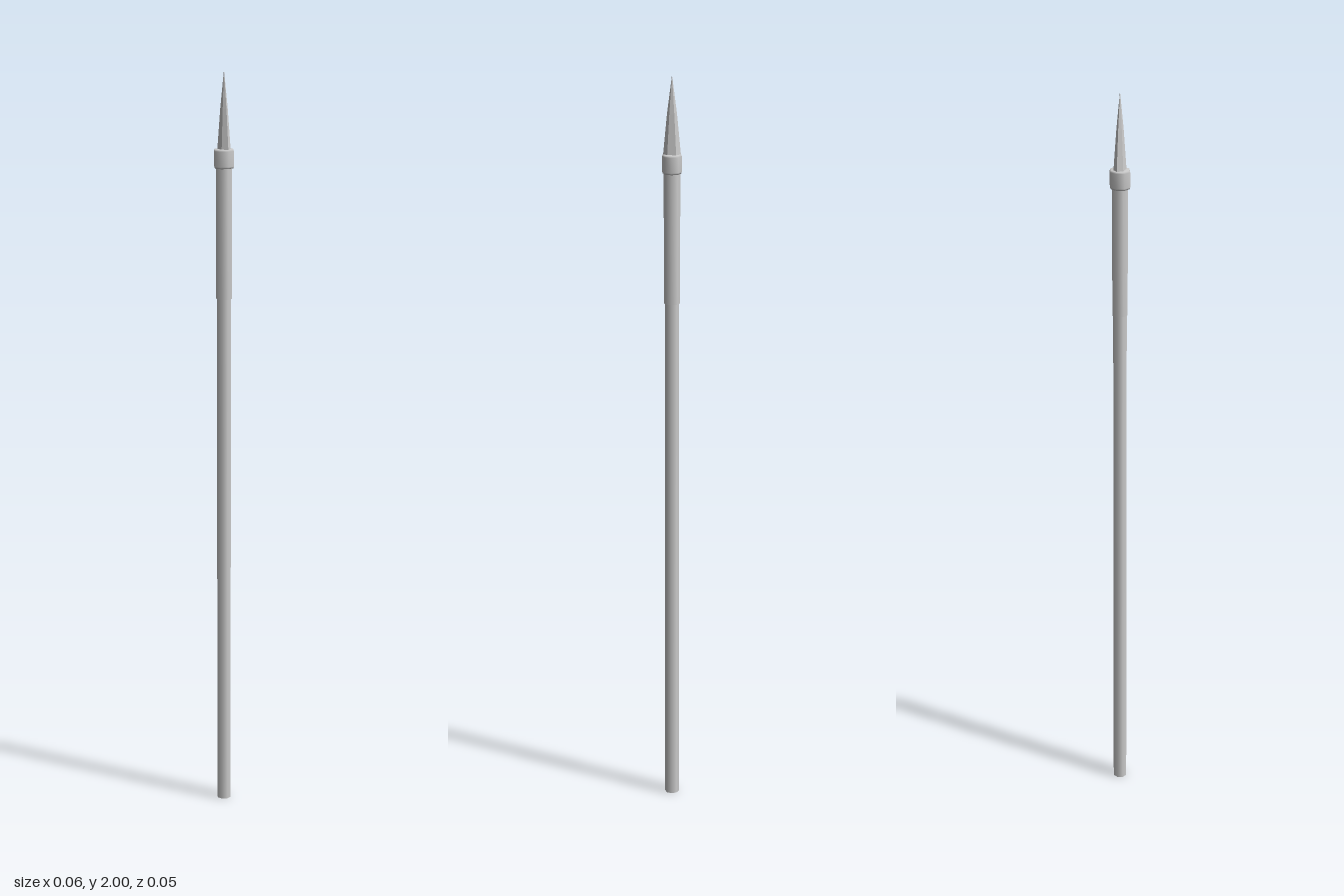
import * as THREE from 'three';

// Lathe a [radius, height] profile listed from bottom to top
function turned(name, profile, sides, flatShading = false) {
  const points = profile.map(([r, y]) => new THREE.Vector2(r, y));
  const material = new THREE.MeshStandardMaterial({ color: 0xcccccc, flatShading });
  const mesh = new THREE.Mesh(new THREE.LatheGeometry(points, sides), material);
  mesh.name = name;
  return mesh;
}

export function createModel() {
  const group = new THREE.Group();
  group.name = 'spear';

  // Long octagonal pole
  const shaft = new THREE.Mesh(
    new THREE.CylinderGeometry(0.019, 0.019, 1.76, 8),
    new THREE.MeshStandardMaterial({ color: 0xcccccc })
  );
  shaft.position.y = 0.88;
  shaft.name = 'shaft';

  // Slightly thicker sleeve, shaded softly over its rims
  const sleeve = turned('sleeve', [[0.017, 1.4], [0.0215, 1.4], [0.0215, 1.76], [0.017, 1.76]], 8);

  // Collar that holds the blade
  const collar = turned('collar', [
    [0, 1.745], [0.026, 1.745], [0.028, 1.75], [0.028, 1.79], [0.026, 1.795], [0, 1.795],
  ], 8);
  collar.scale.z = 0.92;

  // Six-sided blade, flattened from side to side
  const blade = turned('blade', [[0, 1.785], [0.024, 1.785], [0.013, 1.9], [0, 2]], 6, true);
  blade.scale.x = 0.67;

  group.add(shaft, sleeve, collar, blade);
  return group;
}
